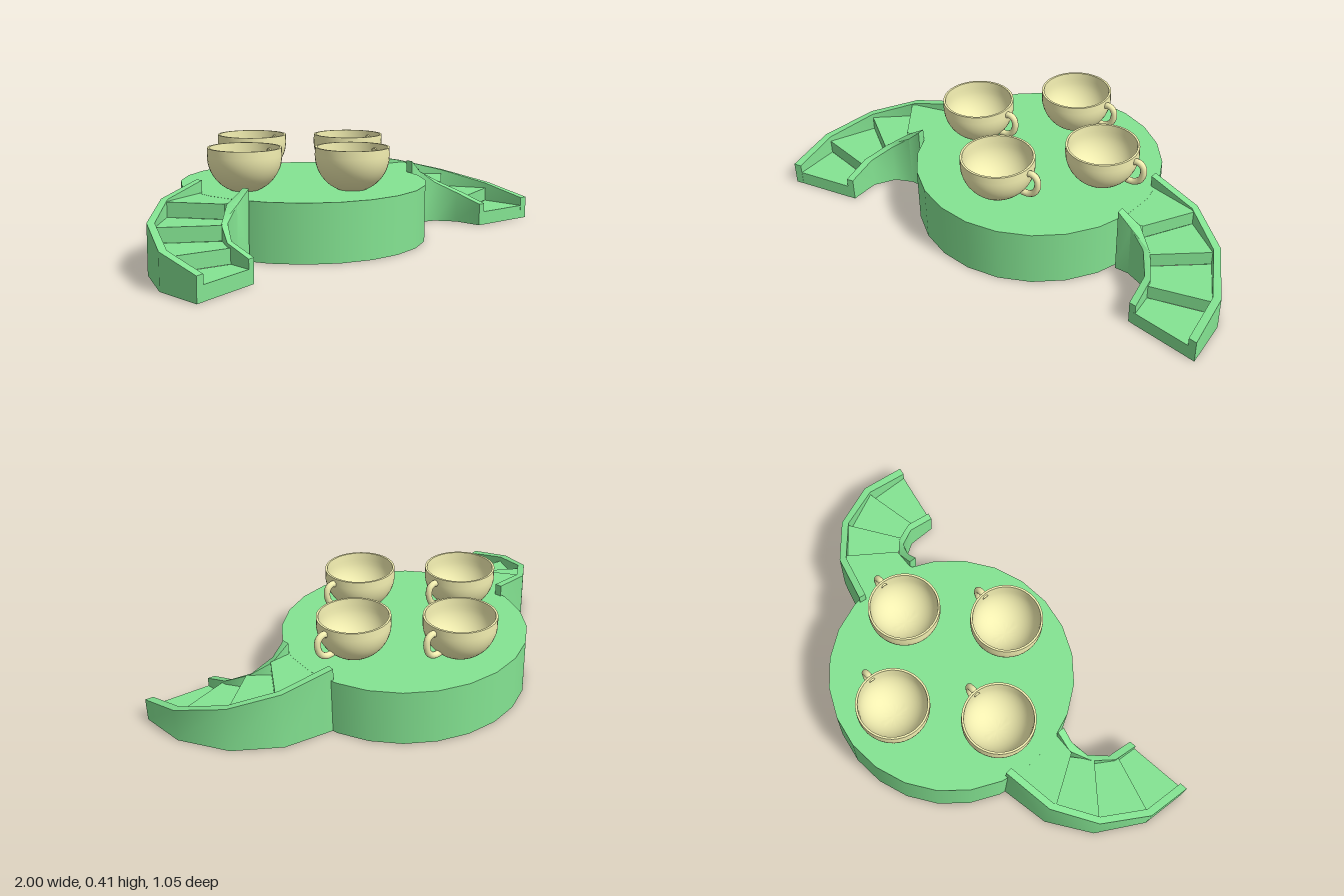
import * as THREE from 'three';
import { toCreasedNormals } from 'three/addons/utils/BufferGeometryUtils.js';

const green = new THREE.MeshStandardMaterial({ color: 0x84e492, side: THREE.DoubleSide });
const cream = new THREE.MeshStandardMaterial({ color: 0xf2eeb0, side: THREE.DoubleSide });

function add(parent, name, geometry, material) {
  const mesh = new THREE.Mesh(geometry, material);
  mesh.name = name;
  parent.add(mesh);
  return mesh;
}

// Collects quads; side = -1 mirrors them across x and keeps them facing outwards
function quadGeometry(quads, side) {
  const positions = [];
  for (const [a, b, c, d] of quads) {
    const corners = side > 0 ? [a, b, c, a, c, d] : [a, c, b, a, d, c];
    for (const [x, y, z] of corners) positions.push(x * side, y, z);
  }
  const geometry = new THREE.BufferGeometry();
  geometry.setAttribute('position', new THREE.Float32BufferAttribute(positions, 3));
  geometry.computeVertexNormals();
  return toCreasedNormals(geometry, 0.7);
}

// Each node is [outer x, outer z, inner x, inner z, top height]
function wallGeometry(nodes, side) {
  const rings = nodes.map(([ox, oz, ix, iz, h]) => [[ox, 0, oz], [ox, h, oz], [ix, h, iz], [ix, 0, iz]]);
  const quads = [];
  for (let i = 0; i < rings.length - 1; i++) {
    for (let k = 0; k < 4; k++) {
      const n = (k + 1) % 4;
      quads.push([rings[i][k], rings[i][n], rings[i + 1][n], rings[i + 1][k]]);
    }
  }
  quads.push([...rings[0]].reverse(), rings[rings.length - 1]);
  return quadGeometry(quads, side);
}

// Step lines from the foot of the stair to the platform: [outer x, outer z, inner x, inner z]
const stepLines = [
  [0.97, 0.478, 0.715, 0.438], [0.97, 0.28, 0.715, 0.34], [0.88, 0.08, 0.67, 0.235],
  [0.735, -0.045, 0.595, 0.165], [0.5, -0.09, 0.49, 0.17],
];

// Open-bottomed zigzag of risers and treads
function stepsGeometry(side) {
  const quads = [];
  const rise = 0.06;
  for (let i = 0; i < 4; i++) {
    const [ox, oz, ix, iz] = stepLines[i];
    const [px, pz, qx, qz] = stepLines[i + 1];
    const low = i * rise;
    const high = (i + 1) * rise - 0.0005;
    quads.push([[ix, low, iz], [ox, low, oz], [ox, high, oz], [ix, high, iz]]);
    quads.push([[ix, high, iz], [ox, high, oz], [px, high, pz], [qx, high, qz]]);
  }
  return quadGeometry(quads, side);
}

const outerWall = [
  [1.0, 0.483, 0.966, 0.478, 0.097], [0.995, 0.275, 0.963, 0.28, 0.143], [0.89, 0.07, 0.868, 0.09, 0.197],
  [0.72, -0.062, 0.71, -0.034, 0.247], [0.5, -0.113, 0.497, -0.083, 0.29],
];
// Runs from the platform down, so that its outer side is the one facing the hollow of the curve
const innerWall = [
  [0.5, 0.197, 0.5, 0.165, 0.29], [0.56, 0.197, 0.585, 0.165, 0.235], [0.635, 0.227, 0.665, 0.225, 0.18],
  [0.69, 0.31, 0.72, 0.32, 0.135], [0.695, 0.434, 0.725, 0.439, 0.097],
];

function createStair(side) {
  const stair = new THREE.Group();
  stair.name = side > 0 ? 'leftStair' : 'rightStair';
  add(stair, 'outerWall', wallGeometry(outerWall, side), green);
  add(stair, 'innerWall', wallGeometry(innerWall, side), green);
  add(stair, 'steps', stepsGeometry(side), green);
  return stair;
}

function createCup(x, z) {
  const cup = new THREE.Group();
  cup.name = 'cup';
  cup.position.set(x, 0.236, z);

  // Hemispherical bowl with a flat foot, short straight rim and hollow inside
  const profile = [new THREE.Vector2(0, 0)];
  const centre = 0.145;
  const arc = (radius, from, to) => {
    for (let i = 0; i <= 12; i++) {
      const a = from + (to - from) * i / 12;
      profile.push(new THREE.Vector2(Math.max(0, radius * Math.cos(a)), centre + radius * Math.sin(a)));
    }
  };
  arc(0.153, -1.245, 0);
  profile.push(new THREE.Vector2(0.152, 0.178), new THREE.Vector2(0.143, 0.178));
  arc(0.141, 0, -Math.PI / 2);
  add(cup, 'bowl', toCreasedNormals(new THREE.LatheGeometry(profile, 40), 0.6), cream);

  // Ear-shaped handle
  const path = new THREE.CatmullRomCurve3([
    [0.138, 0.145], [0.165, 0.153], [0.187, 0.14], [0.193, 0.108], [0.18, 0.072], [0.152, 0.052], [0.118, 0.05],
  ].map(([px, py]) => new THREE.Vector3(px, py, 0)));
  add(cup, 'handle', new THREE.TubeGeometry(path, 28, 0.014, 10), cream);
  return cup;
}

export function createModel() {
  const model = new THREE.Group();
  model.name = 'cupPlatform';

  // Round platform
  const platform = add(model, 'platform', new THREE.CylinderGeometry(0.526, 0.526, 0.24, 24), green);
  platform.position.y = 0.12;

  // Curved stairs on both sides
  for (const side of [1, -1]) model.add(createStair(side));

  // Four cups
  for (const [x, z] of [[-0.01, -0.313], [-0.327, -0.015], [0.3, -0.015], [-0.01, 0.288]]) {
    model.add(createCup(x, z));
  }
  return model;
}
